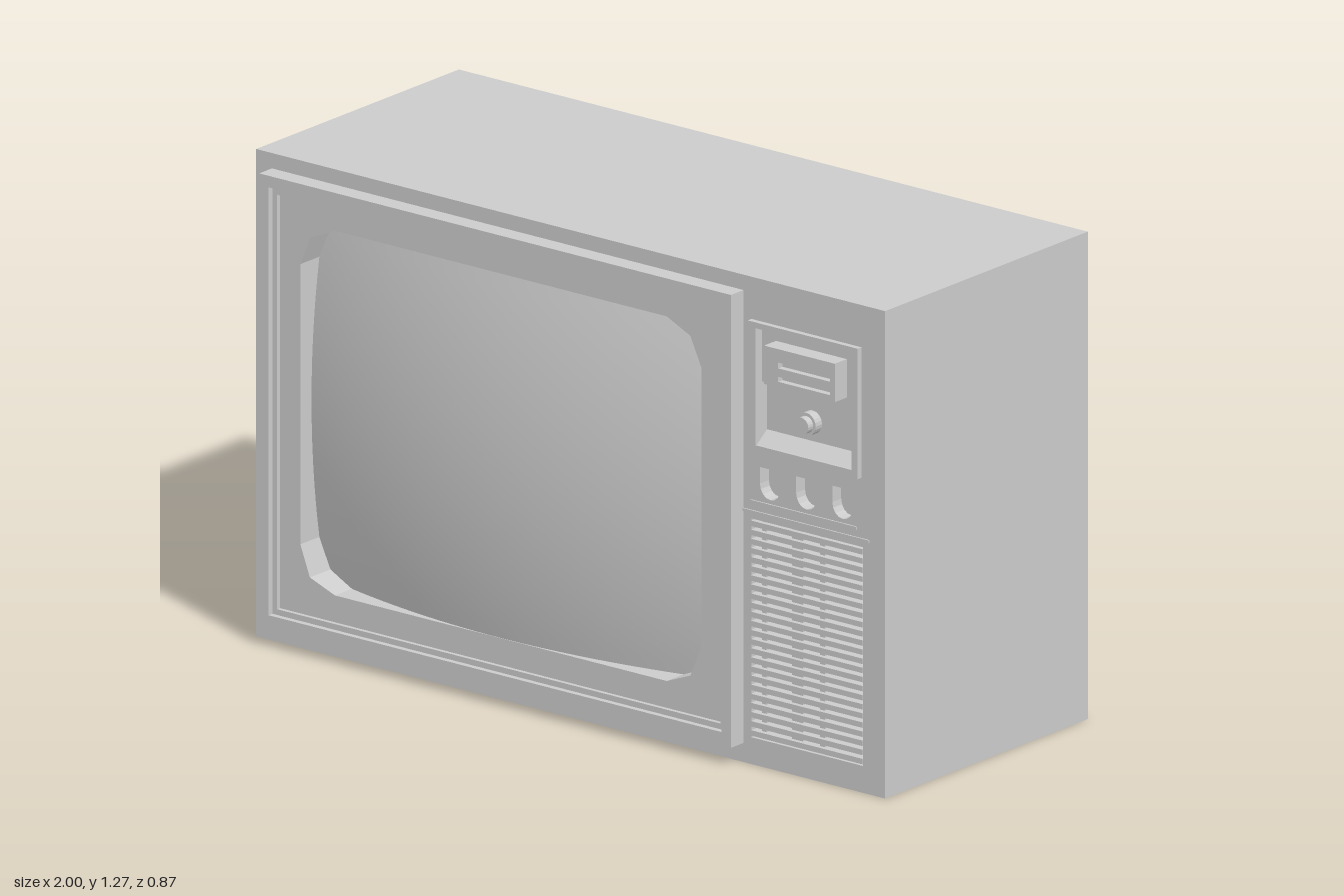
import * as THREE from 'three';

const grey = new THREE.MeshStandardMaterial({ color: 0xcccccc, flatShading: true });
const smooth = new THREE.MeshStandardMaterial({ color: 0xcccccc });

const FRONT = 0.36;   // cabinet face
const PLATE = 0.26;   // back of the pierced front plate

export function createModel() {
  const model = new THREE.Group();

  const add = (name, geometry, material = grey) => {
    const mesh = new THREE.Mesh(geometry, material);
    mesh.name = name;
    model.add(mesh);
    return mesh;
  };
  // Box given by its limits on each axis
  const box = (name, x0, x1, y0, y1, z0, z1) =>
    add(name, new THREE.BoxGeometry(x1 - x0, y1 - y0, z1 - z0)
      .translate((x0 + x1) / 2, (y0 + y1) / 2, (z0 + z1) / 2));
  const points = (list) => list.map(([x, y]) => new THREE.Vector2(x, y));
  const rect = (x0, x1, y0, y1) => points([[x0, y0], [x1, y0], [x1, y1], [x0, y1]]);
  // Flat plate with cut-outs, extruded between two depths
  const plate = (name, outline, holes, z0, z1) => {
    const shape = new THREE.Shape(outline);
    holes.forEach((h) => shape.holes.push(new THREE.Path(h)));
    return add(name, new THREE.ExtrudeGeometry(shape, { depth: z1 - z0, bevelEnabled: false })
      .translate(0, 0, z0));
  };

  // Shield-shaped pockets: flat top, rounded bottom
  const shield = (cx) => {
    const pts = [[cx + 0.033, 0.78], [cx - 0.033, 0.78]];
    for (let i = 0; i <= 8; i++) {
      const a = Math.PI * (1 + i / 8);
      pts.push([cx + 0.033 * Math.cos(a), 0.737 + 0.037 * Math.sin(a)]);
    }
    return points(pts);
  };
  const pocketX = [0.635, 0.75, 0.865];

  // Cabinet
  box('cabinet', -1, 1, 0, 1.27, -0.435, PLATE);
  plate('cabinetFront', rect(-1, 1, 0, 1.27), [
    rect(-0.905, 0.505, 0.1, 1.18),
    rect(0.6, 0.905, 0.84, 1.145),
    rect(0.575, 0.93, 0.07, 0.64),
    ...pocketX.map(shield),
  ], PLATE, FRONT);

  // Stepped frame around the screen
  plate('screenFrame', rect(-0.95, 0.55, 0.05, 1.23), [rect(-0.92, 0.52, 0.085, 1.2)], FRONT, 0.41);
  plate('frameStep', rect(-0.92, 0.52, 0.085, 1.2), [rect(-0.905, 0.505, 0.1, 1.18)], FRONT, 0.395);

  // Mask with clipped corners
  const opening = points([
    [-0.73, 0.17], [0.325, 0.17], [0.4, 0.2], [0.435, 0.28],
    [0.435, 1.01], [0.4, 1.085], [0.325, 1.12], [-0.73, 1.12],
    [-0.81, 1.085], [-0.84, 1.01], [-0.84, 0.28], [-0.81, 0.2],
  ]);
  plate('screenMask', rect(-0.905, 0.505, 0.1, 1.18), [opening], PLATE, 0.384);

  // Domed picture tube
  const tube = new THREE.PlaneGeometry(1.285, 0.958, 32, 24);
  const pos = tube.attributes.position;
  for (let i = 0; i < pos.count; i++) {
    const r2 = pos.getX(i) ** 2 + pos.getY(i) ** 2;
    pos.setZ(i, 0.435 - r2 / 4.3);
  }
  tube.computeVertexNormals();
  tube.translate(-0.2025, 0.645, 0);
  add('screen', tube, smooth);

  // Tuner: raised surround, recessed floors, sloping sill
  plate('tunerSurround', rect(0.575, 0.925, 0.82, 1.16), [rect(0.6, 0.905, 0.84, 1.145)], FRONT, 0.375);
  box('tunerUpperPanel', 0.6, 0.905, 1.0, 1.145, PLATE, 0.35);
  box('tunerLowerPanel', 0.6, 0.905, 0.84, 1.0, PLATE, 0.33);
  const sill = new THREE.Shape(points([[0.33, 0.84], [0.37, 0.84], [0.33, 0.87]]));
  add('tunerSill', new THREE.ExtrudeGeometry(sill, { depth: 0.305, bevelEnabled: false })
    .rotateY(-Math.PI / 2).translate(0.905, 0, 0));

  // Channel display with two slots
  plate('channelDisplay', rect(0.645, 0.87, 1.015, 1.115),
    [rect(0.69, 0.855, 1.03, 1.043), rect(0.69, 0.855, 1.065, 1.08)], 0.35, 0.397);
  box('displayBack', 0.69, 0.855, 1.025, 1.085, 0.35, 0.38);

  // Tuning knob
  const knob = (name, r, z0, z1) =>
    add(name, new THREE.CylinderGeometry(r, r, z1 - z0, 20).rotateX(Math.PI / 2)
      .translate(0.745, 0.92, (z0 + z1) / 2));
  knob('knobBase', 0.03, 0.33, 0.355);
  knob('knobCap', 0.022, 0.355, 0.374);

  // Pocket floors
  pocketX.forEach((x) => box('pocketFloor', x - 0.035, x + 0.035, 0.698, 0.782, PLATE, 0.325));

  // Trim strips
  box('upperTrim', 0.575, 0.91, 0.682, 0.69, FRONT - 0.005, 0.364);
  box('lowerTrim', 0.55, 0.95, 0.656, 0.663, FRONT - 0.005, 0.364);

  // Speaker grille: floor, upright bars and horizontal slats
  box('grilleFloor', 0.575, 0.93, 0.07, 0.64, PLATE, 0.33);
  [[0.6, 0.615], [0.695, 0.73], [0.785, 0.8]].forEach(([a, b]) =>
    box('grilleBar', a, b, 0.07, 0.64, 0.33, 0.35));
  const slats = 24, pitch = 0.57 / slats;
  for (let i = 0; i < slats; i++) {
    const y = 0.07 + (i + 0.2) * pitch;
    box('grilleSlat', 0.575, 0.93, y, y + pitch * 0.6, 0.33, 0.362);
  }
  return model;
}
